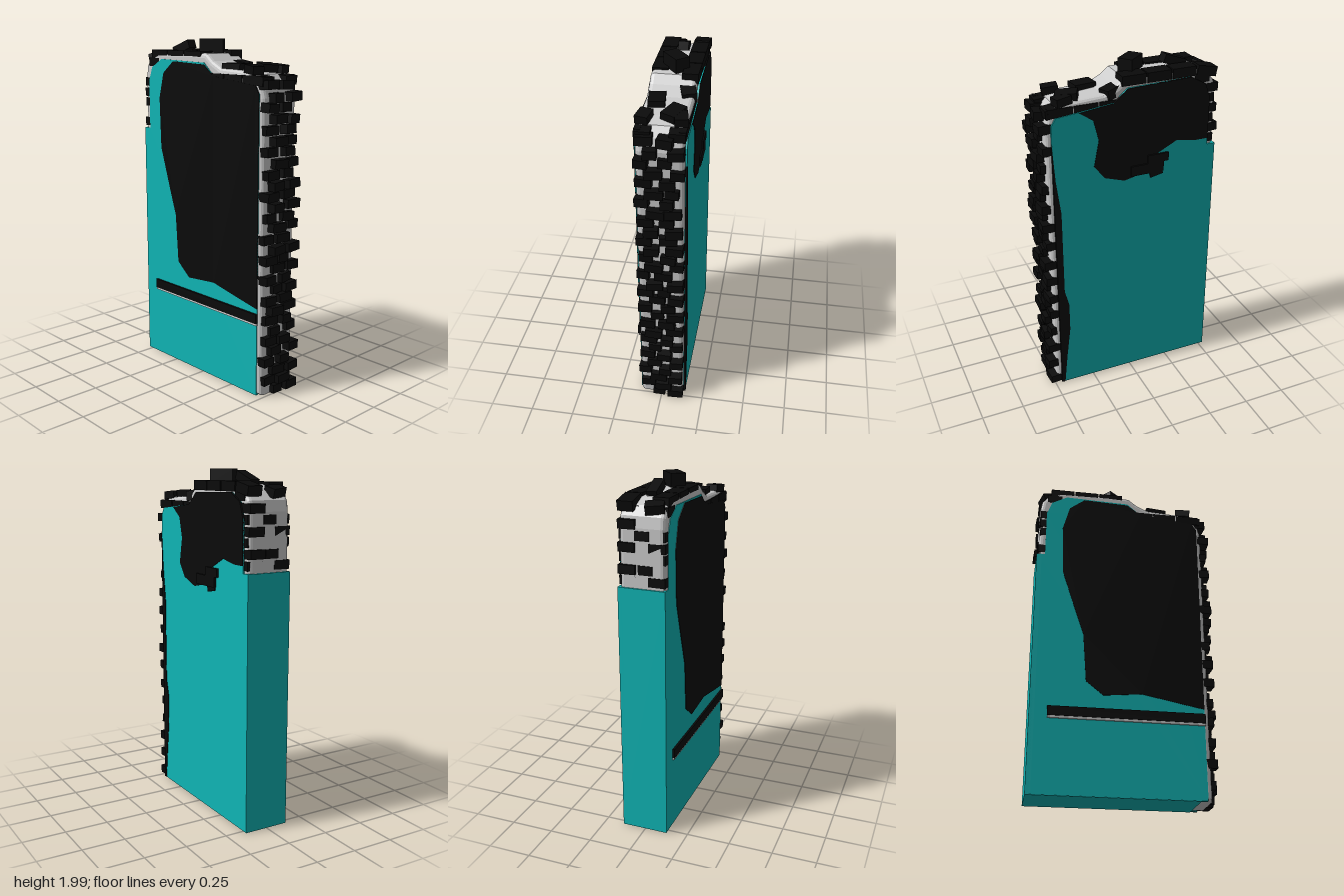
import * as THREE from 'three';

const mat = (color) => new THREE.MeshStandardMaterial({ color });
const grey = mat(0xcccccc), teal = mat(0x10b5b5), black = mat(0x0a0a0a);

let seed = 7;
const rand = () => (seed = (seed * 16807) % 2147483647) / 2147483647;
const jitter = (a) => (rand() - 0.5) * 2 * a;

// Slab with an outline given as [z, y], spanning x0..x1
function slab(name, points, x0, x1, material, bevel = 0) {
  const shape = new THREE.Shape(points.map(([z, y]) => new THREE.Vector2(z, y)));
  const g = new THREE.ExtrudeGeometry(shape, {
    depth: x1 - x0 - 2 * bevel, bevelEnabled: bevel > 0, bevelSize: bevel,
    bevelThickness: bevel, bevelOffset: -bevel, bevelSegments: 3,
  });
  g.rotateY(-Math.PI / 2).translate(x1 - bevel, 0, 0);
  const m = new THREE.Mesh(g, material);
  m.name = name;
  return m;
}

export function createModel() {
  const model = new THREE.Group();
  model.name = 'wallSegment';

  // Rubble core with a stepped, rounded top
  model.add(slab('stoneCore', [
    [0.485, 0.01], [0.485, 1.7], [0.465, 1.77], [0.42, 1.82], [0.34, 1.835], [0.15, 1.845],
    [0.08, 1.88], [0.03, 1.92], [-0.1, 1.925], [-0.4, 1.92], [-0.47, 1.89], [-0.51, 1.84],
    [-0.52, 1.78], [-0.52, 0.01],
  ], -0.128, 0.128, grey, 0.025));

  // Plaster on both sides and the back, closed underneath
  const side = [
    [0.457, 0.008], [0.457, 1.72], [0.43, 1.765], [0.1, 1.8], [0.02, 1.87], [-0.36, 1.88],
    [-0.45, 1.83], [-0.48, 1.75], [-0.48, 1.46], [-0.53, 1.46], [-0.53, 0.008],
  ];
  model.add(slab('leftPlaster', side, 0.115, 0.138, teal));
  model.add(slab('rightPlaster', side, -0.132, -0.115, teal));
  model.add(slab('backPlaster', [[-0.5, 0.008], [-0.5, 1.46], [-0.53, 1.46], [-0.53, 0.008]], -0.132, 0.138, teal));
  model.add(slab('basePlaster', [[0.42, 0.006], [0.42, 0.03], [-0.53, 0.03], [-0.53, 0.006]], -0.13, 0.136, teal));

  // Dark bare areas where the plaster has broken away
  const leftBare = [
    [0.3, 1.775], [0.22, 1.72], [0.19, 1.6], [0.22, 1.45], [0.16, 1.37], [0.04, 1.33], [-0.1, 1.36],
    [-0.16, 1.46], [-0.28, 1.52], [-0.4, 1.5], [-0.48, 1.5], [-0.48, 1.75], [-0.45, 1.83],
    [-0.36, 1.88], [0.02, 1.87], [0.1, 1.8],
  ];
  model.add(slab('leftBareArea', leftBare, 0.13, 0.141, black));
  model.add(slab('leftBareEdge', [
    [0.459, 0.008], [0.459, 1.62], [0.445, 1.4], [0.42, 1.2], [0.42, 0.68], [0.395, 0.58], [0.395, 0.4], [0.42, 0.2], [0.44, 0.008],
  ], 0.13, 0.141, black));
  model.add(slab('rightBareArea', [
    [0.457, 0.53], [0.457, 1.72], [0.43, 1.765], [0.1, 1.8], [0.02, 1.86], [-0.25, 1.87], [-0.34, 1.8],
    [-0.38, 1.65], [-0.37, 1.35], [-0.29, 1.1], [-0.24, 0.95], [-0.22, 0.66], [-0.12, 0.58], [0.1, 0.6], [0.3, 0.56],
  ], -0.135, -0.12, black));

  // Ledge running along the right side
  model.add(slab('rightLedge', [[0.46, 0.445], [0.46, 0.5], [-0.43, 0.5], [-0.43, 0.445]], -0.145, -0.12, black));
  model.add(slab('rightLedgeUnderside', [[0.46, 0.432], [0.46, 0.445], [-0.43, 0.445], [-0.43, 0.432]], -0.141, -0.12, grey));

  const bricks = new THREE.Group();
  bricks.name = 'bricks';
  model.add(bricks);
  const unit = new THREE.BoxGeometry(1, 1, 1);
  function brick(name, x, y, z, w, h, d, rx = 0, ry = 0, rz = 0) {
    const m = new THREE.Mesh(unit, black);
    m.name = name;
    m.position.set(x, y, z);
    m.scale.set(w, h, d);
    m.rotation.set(rx, ry, rz);
    bricks.add(m);
  }

  // Staggered courses up the front edge
  for (let i = 0; i < 30; i++) {
    const y = 0.04 + i * 0.0595;
    const xs = i % 2 ? [-0.085, 0.03] : [-0.03, 0.088];
    for (const x of xs) {
      const w = 0.085 + jitter(0.015);
      const cx = THREE.MathUtils.clamp(x + jitter(0.02), -0.128 + w / 2, 0.13 - w / 2);
      brick('frontBrick', cx, y + jitter(0.006), 0.473 + jitter(0.015), w, 0.05, 0.1, jitter(0.06), jitter(0.1), jitter(0.06));
    }
  }

  // Courses on the bare upper back corners
  for (let i = 0; i < 7; i++) {
    const y = 1.5 + i * 0.06;
    const in_ = i === 6 ? 0.035 : 0;
    for (const s of [-1, 1]) {
      if ((i + s) % 4 === 0 && s < 0) continue;
      brick('backBrick', s * 0.083, y, -0.475 + in_ + jitter(0.01), 0.095, 0.05, i % 2 ? 0.11 : 0.09, jitter(0.05), jitter(0.05));
    }
    if (i % 3 === 1) brick('backBrick', jitter(0.02), y, -0.485 + in_, 0.08, 0.05, 0.08);
  }

  // Rows capping the two top edges of the tall part
  for (const z of [-0.385, -0.235, -0.085]) {
    brick('topRightBrick', -0.082, 1.905, z, 0.09, 0.055, 0.142);
    brick('topLeftBrick', 0.091, 1.91, z + 0.065, 0.088, 0.055, 0.142);
  }
  brick('topLeftBrick', 0.091, 1.9, -0.46, 0.088, 0.055, 0.12, -0.2);
  brick('topLeftBrick', 0.09, 1.85, 0.1, 0.08, 0.055, 0.09, 0.2, 0.3);
  brick('topBackBrick', -0.06, 1.885, -0.48, 0.1, 0.05, 0.07, -0.3, 0.3);

  // Flat course along the lower step on both sides
  for (let i = 0; i < 3; i++)
    for (const s of [-1, 1])
      brick('stepBrick', s * 0.116, 1.79, 0.4 - i * 0.145, 0.035, 0.05, 0.138);
  for (const s of [-1, 1]) {
    brick('cornerBrick', s * 0.09, 1.79, 0.44, 0.085, 0.05, 0.085, 0.1);
    brick('cornerBrick', s * 0.095, 1.845, 0.38, 0.07, 0.045, 0.09, 0.1, s * 0.2);
  }

  // Loose bricks lying on top
  brick('looseBrick', 0.0, 1.96, -0.055, 0.085, 0.08, 0.135, 0, 0.7);
  brick('looseBrick', 0.005, 1.945, -0.31, 0.058, 0.05, 0.14, -0.35, 0.05);
  brick('looseBrick', -0.06, 1.85, 0.205, 0.09, 0.045, 0.125, 0, 0.12);
  brick('looseBrick', 0.05, 1.85, 0.335, 0.085, 0.045, 0.12, 0.1, -0.45);

  // Bricks standing out of the left face
  brick('faceBrick', 0.13, 1.435, -0.165, 0.04, 0.05, 0.13);
  brick('faceBrick', 0.13, 1.38, -0.1, 0.04, 0.06, 0.2);
  brick('faceBrick', 0.125, 1.35, -0.155, 0.04, 0.05, 0.08, 0.2);
  return model;
}
